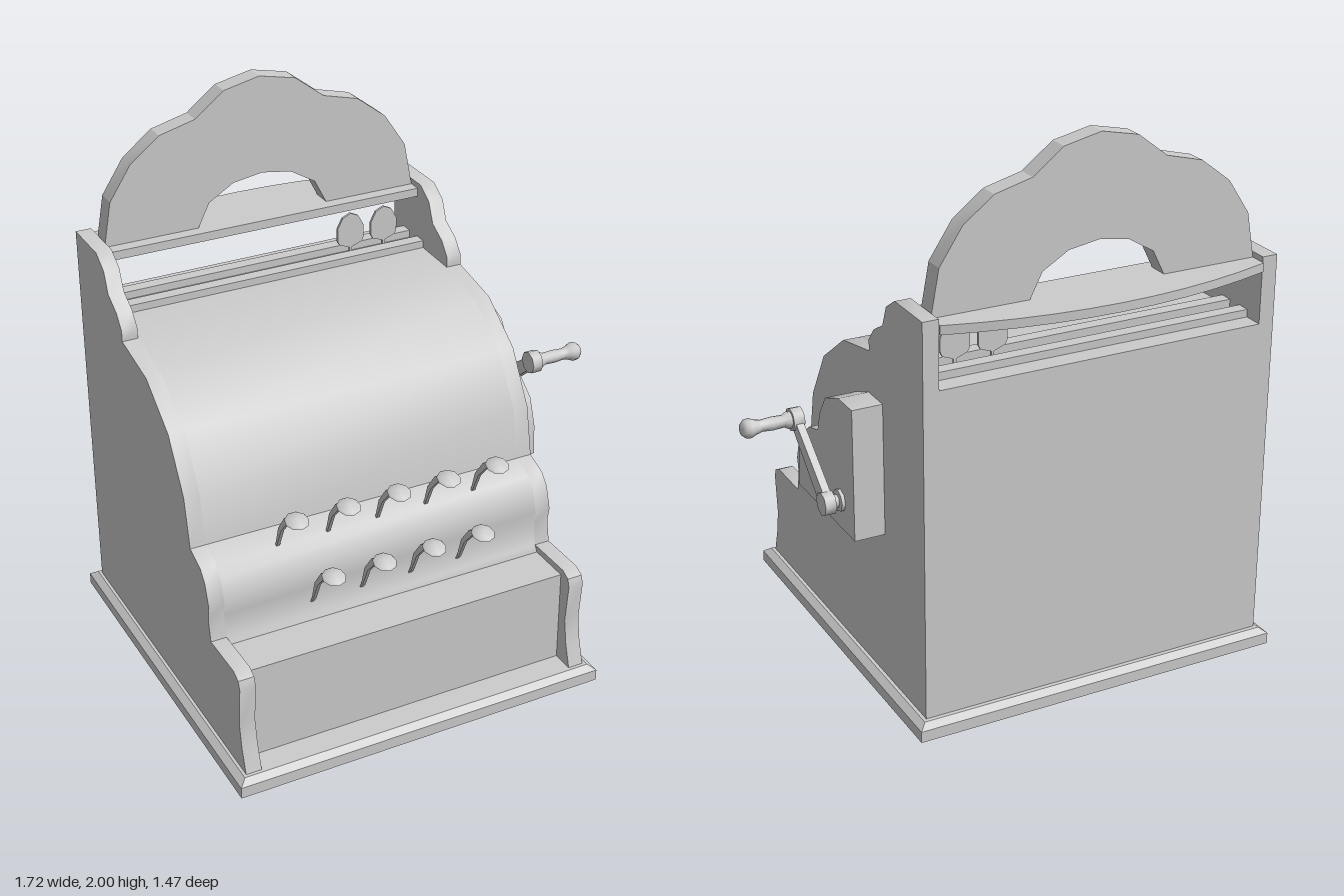
import * as THREE from 'three';
import { toCreasedNormals } from 'three/addons/utils/BufferGeometryUtils.js';

const CX = -0.17; // middle of the cabinet
const grey = new THREE.MeshStandardMaterial({ color: 0xcccccc, side: THREE.DoubleSide });

export function createModel() {
  const model = new THREE.Group();

  const add = (name, geometry, x = 0, y = 0, z = 0, parent = model) => {
    const mesh = new THREE.Mesh(geometry, grey);
    mesh.name = name;
    mesh.position.set(x, y, z);
    parent.add(mesh);
    return mesh;
  };
  const shapeOf = (pts) => new THREE.Shape(pts.map(([a, b]) => new THREE.Vector2(a, b)));
  const extrude = (shape, depth) => new THREE.ExtrudeGeometry(shape, { depth, bevelEnabled: false, curveSegments: 10 });
  // Side outline of [z, y] points, extruded along x from x0 to x1
  const sideExtrude = (pts, x0, x1) =>
    toCreasedNormals(extrude(shapeOf(pts.map(([z, y]) => [-z, y])), x1 - x0).rotateY(Math.PI / 2).translate(x0, 0, 0), 0.7);
  // Box given by its limits
  const slab = (name, x0, x1, y0, y1, z0, z1) =>
    add(name, new THREE.BoxGeometry(x1 - x0, y1 - y0, z1 - z0), (x0 + x1) / 2, (y0 + y1) / 2, (z0 + z1) / 2);
  // Turned part along +x, from [radius, x] points
  const turned = (pts, sides = 12) =>
    toCreasedNormals(new THREE.LatheGeometry(pts.map(([r, x]) => new THREE.Vector2(r, x)), sides).rotateZ(-Math.PI / 2), 0.9);

  // Base plinth with bevelled upper edge
  const plinth = new THREE.BoxGeometry(1.395, 0.06, 1.415, 1, 2, 1);
  const p = plinth.attributes.position;
  for (let i = 0; i < p.count; i++) {
    if (p.getY(i) > 0.01) p.setXYZ(i, p.getX(i) - Math.sign(p.getX(i)) * 0.025, 0.03, p.getZ(i) - Math.sign(p.getZ(i)) * 0.025);
    else if (p.getY(i) > -0.01) p.setY(i, 0.012);
  }
  add('base', toCreasedNormals(plinth, 0.3), -0.168, 0.03, 0.027);

  // Cabinet: two scrolled side panels and the curved body between them
  const curve = [
    [0.44, 0.435], [0.425, 0.515], [0.435, 0.57], [0.41, 0.65], [0.375, 0.69], [0.295, 0.72],
    [0.26, 0.9], [0.15, 1.085], [-0.025, 1.21], [-0.235, 1.25],
  ];
  const sidePanel = [
    [-0.64, 0.05], [0.7, 0.05], [0.67, 0.15], [0.655, 0.24], [0.67, 0.39], [0.66, 0.42], [0.625, 0.437],
    ...curve,
    [-0.235, 1.29], [-0.275, 1.34], [-0.345, 1.38], [-0.375, 1.455], [-0.44, 1.497], [-0.64, 1.497],
  ];
  add('leftSidePanel', sideExtrude(sidePanel, 0.435, 0.492));
  add('rightSidePanel', sideExtrude(sidePanel, -0.83, -0.773));
  add('body', sideExtrude([[-0.64, 0.05], [0.455, 0.05], [0.455, 0.41], ...curve, [-0.415, 1.255], [-0.64, 1.255]], -0.773, 0.435));
  slab('drawer', -0.773, 0.435, 0.05, 0.412, 0.44, 0.615);

  // Display window: rails and two price flags
  for (const z of [-0.415, -0.52]) slab('windowRail', -0.773, 0.435, 1.245, 1.283, z - 0.048, z);
  const half = [[0.005, 1.25], [0.005, 1.285], [0.045, 1.3], [0.053, 1.315], [0.053, 1.365], [0.032, 1.405]];
  const flag = shapeOf([...half, [0, 1.42], ...half.map(([x, y]) => [-x, y]).reverse()]);
  for (const x of [0.17, 0.307]) add('flag', extrude(flag, 0.01), x, 0, -0.497);

  // Shelf with a bowed rear edge
  const shelf = new THREE.Shape();
  shelf.moveTo(-0.604, 0.46);
  shelf.lineTo(0.604, 0.46);
  shelf.lineTo(0.604, 0.645);
  shelf.quadraticCurveTo(0, 0.83, -0.604, 0.645);
  add('shelf', toCreasedNormals(extrude(shelf, 0.032).rotateX(-Math.PI / 2), 0.5), CX, 1.445, 0);

  // Scalloped crest arch
  const outer = [[0.604, 1.475], [0.574, 1.64], [0.492, 1.765], [0.382, 1.85], [0.247, 1.885], [0.137, 1.97]];
  const inner = [[0.252, 1.475], [0.207, 1.565], [0.112, 1.622]];
  const flip = (pts) => pts.map(([x, y]) => [-x, y]);
  const crest = shapeOf([...outer, [0, 2], ...flip(outer).reverse(), ...flip(inner), [0, 1.64], ...[...inner].reverse()]);
  add('crest', toCreasedNormals(extrude(crest, 0.073), 0.4), CX, 0, -0.581);

  // Keys: curved lever with a domed round cap
  const lever = sideExtrude([
    [0.345, 0.66], [0.365, 0.695], [0.39, 0.775], [0.44, 0.842], [0.5, 0.88],
    [0.535, 0.868], [0.46, 0.83], [0.412, 0.775], [0.375, 0.695],
  ], -0.006, 0.006);
  const cap = toCreasedNormals(new THREE.LatheGeometry(
    [[0, -0.012], [0.025, -0.01], [0.042, 0], [0.036, 0.006], [0, 0.013]].map(([r, y]) => new THREE.Vector2(r, y)), 9), 0.9);
  const key = (x, dy, dz) => {
    const group = new THREE.Group();
    group.name = 'key';
    group.position.set(x, dy, dz);
    add('keyLever', lever, 0, 0, 0, group);
    add('keyCap', cap, 0, 0.877, 0.525, group).rotation.x = 0.28;
    model.add(group);
  };
  for (let i = 0; i < 5; i++) key(-0.545 + i * 0.189, 0, 0);
  for (let i = 0; i < 4; i++) key(-0.45 + i * 0.189, -0.203, 0.076);

  // Crank housing on the side
  add('crankHousing', sideExtrude([
    [-0.335, 0.615], [0.145, 0.615], [0.14, 0.73], [0.105, 0.83], [0.035, 0.885], [-0.04, 0.905],
    [-0.065, 0.98], [-0.115, 1.055], [-0.225, 1.097], [-0.335, 1.097],
  ], 0.48, 0.603));

  // Crank: pivot, arm with end hubs, handle
  const pivot = [-0.225, 0.722], grip = [0.028, 0.93];
  const dir = new THREE.Vector2(grip[0] - pivot[0], grip[1] - pivot[1]).normalize();
  const off = ([z, y], w) => [z - dir.y * w, y + dir.x * w];
  add('crankPivot', turned([[0, 0], [0.04, 0], [0.04, 0.015], [0.024, 0.018], [0.024, 0.05]], 8), 0.6, pivot[1], pivot[0]);
  add('crankArm', sideExtrude([off(pivot, -0.032), off(grip, -0.022), off(grip, 0.022), off(pivot, 0.032)], 0.64, 0.668));
  for (const [z, y] of [pivot, grip])
    add('crankHub', turned([[0, 0], [0.042, 0], [0.042, 0.04], [0, 0.04]], 8), 0.635, y, z);
  add('crankHandle', turned([
    [0.03, 0], [0.03, 0.015], [0.022, 0.03], [0.024, 0.07], [0.021, 0.11], [0.026, 0.13],
    [0.035, 0.15], [0.033, 0.168], [0.02, 0.182], [0, 0.185],
  ]), 0.672, grip[1], grip[0]);

  return model;
}
